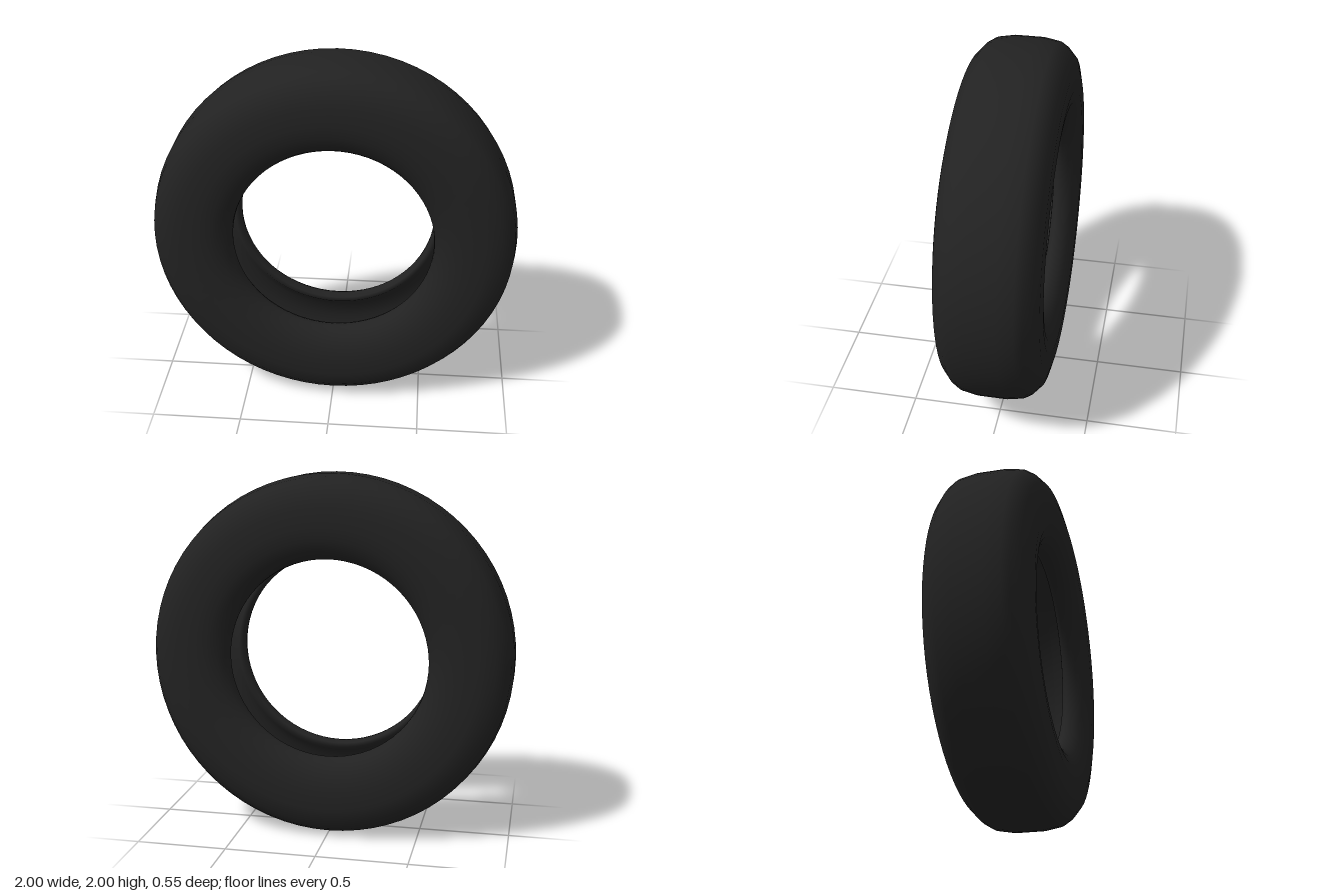
import * as THREE from 'three';

export function createModel() {
  const group = new THREE.Group();
  group.name = 'tyre';
  const rubber = new THREE.MeshStandardMaterial({ color: 0x222222 });
  rubber.name = 'black rubber';

  // Half of the hollow cross-section as [radius, offset from the middle]
  const half = [
    [0.94, 0], [0.935, 0.12], [0.9, 0.19], [0.84, 0.22], [0.75, 0.225], // inner liner
    [0.66, 0.2], [0.61, 0.155], [0.585, 0.125], [0.562, 0.13],          // bead, inner side
    [0.55, 0.155], [0.553, 0.18], [0.57, 0.21], [0.605, 0.24],          // bead, outer side
    [0.66, 0.263], [0.73, 0.273], [0.83, 0.27],                         // sidewall
    [0.91, 0.25], [0.96, 0.205], [0.985, 0.165], [1, 0.08], [1, 0],     // shoulder and tread
  ];

  // Mirror it into a closed loop that starts and ends on the liner
  const loop = [
    ...half.map(([r, z]) => new THREE.Vector2(r, -z)),
    ...half.slice(0, -1).reverse().map(([r, z]) => new THREE.Vector2(r, z)),
  ];

  const tyre = new THREE.Mesh(new THREE.LatheGeometry(loop, 72), rubber);
  tyre.name = 'tyreCarcass';
  tyre.rotation.x = Math.PI / 2; // axle along z
  tyre.position.y = 1;
  group.add(tyre);
  return group;
}
